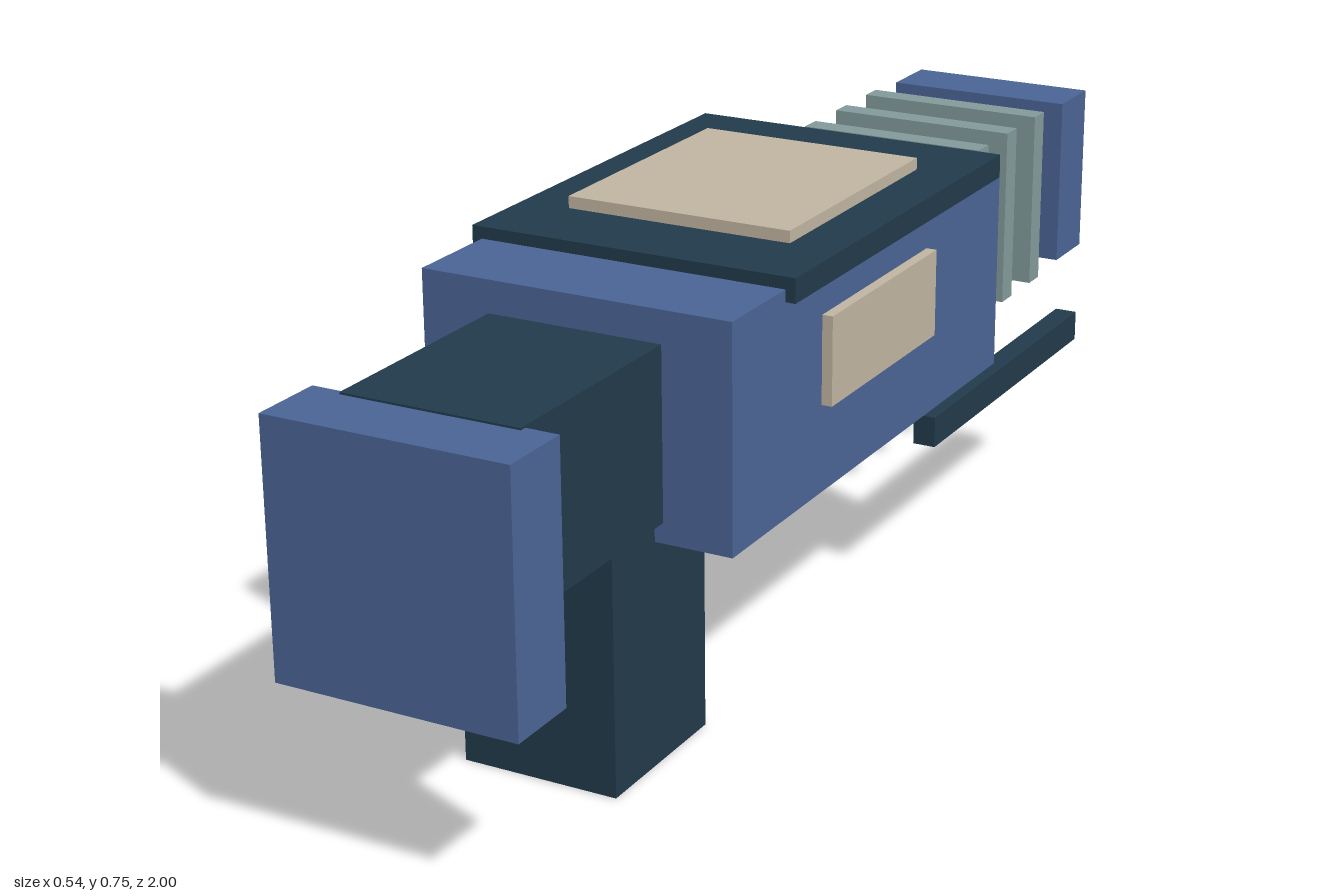
import * as THREE from 'three';

const mat = (name, color) => {
  const m = new THREE.MeshStandardMaterial({ color });
  m.name = name;
  return m;
};

export function createModel() {
  const blue = mat('blue', 0x4a6495);
  const dark = mat('dark slate', 0x213a4a);
  const tan = mat('tan', 0xc0b4a0);
  const grey = mat('grey green', 0x839a9a);

  const model = new THREE.Group();
  model.name = 'blaster';

  // Box given by its extents along each axis
  const box = (name, material, [x0, x1], [y0, y1], [z0, z1]) => {
    const mesh = new THREE.Mesh(new THREE.BoxGeometry(x1 - x0, y1 - y0, z1 - z0), material);
    mesh.position.set((x0 + x1) / 2, (y0 + y1) / 2, (z0 + z1) / 2);
    mesh.name = name;
    model.add(mesh);
  };
  // Box centred on x = 0
  const mid = (name, material, half, y, z) => box(name, material, [-half, half], y, z);

  // Body with top cover and inset panel
  mid('body', blue, 0.254, [0.355, 0.707], [-0.39, 0.526]);
  mid('topCover', dark, 0.27, [0.688, 0.726], [-0.352, 0.367]);
  mid('topPanel', tan, 0.188, [0.72, 0.745], [-0.211, 0.226]);

  // Stock and grip
  mid('stockNeck', dark, 0.142, [0.387, 0.656], [0.5, 0.892]);
  mid('buttPlate', blue, 0.194, [0.263, 0.653], [0.881, 1]);
  mid('grip', dark, 0.128, [0, 0.392], [0.38, 0.646]);

  // Barrel with cooling fins
  mid('barrel', dark, 0.12, [0.415, 0.64], [-0.9, -0.37]);
  for (let i = 0; i < 4; i++) {
    const z = -0.412 - i * 0.1203;
    mid('coolingFin', grey, 0.163, [0.375, 0.678], [z - 0.02, z + 0.02]);
  }

  // Muzzle block and bore
  mid('muzzle', blue, 0.163, [0.382, 0.672], [-0.987, -0.878]);
  mid('bore', dark, 0.073, [0.475, 0.577], [-1, -0.97]);

  // Side panels and lower rails, mirrored
  for (const s of [-1, 1]) {
    const span = (a, b) => (s > 0 ? [a, b] : [-b, -a]);
    box('sidePanel', tan, span(0.245, 0.271), [0.494, 0.634], [-0.11, 0.25]);
    box('lowerRail', dark, span(0.19, 0.228), [0.261, 0.312], [-0.817, -0.215]);
  }

  return model;
}
